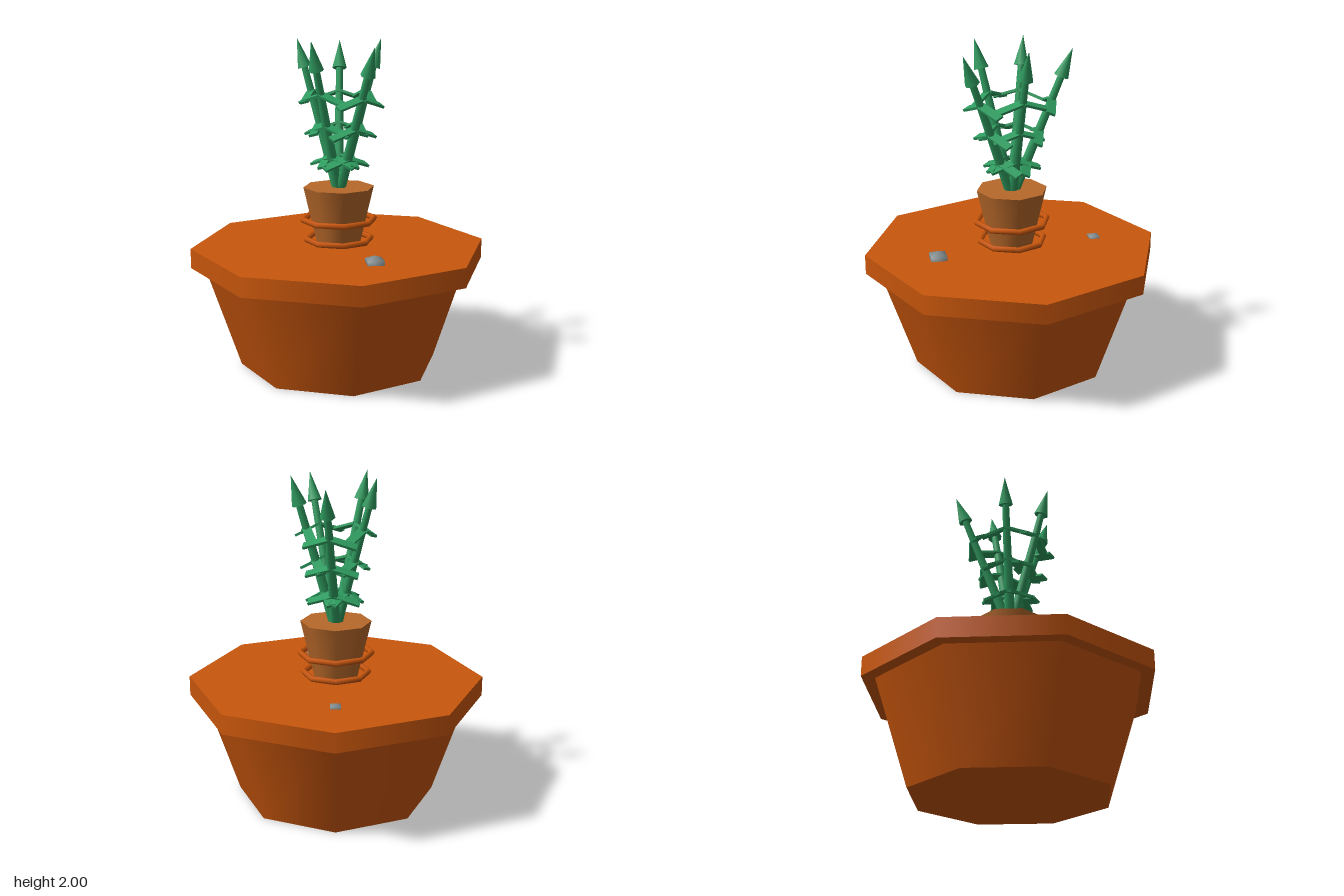
import * as THREE from 'three';

const paint = (color) => new THREE.MeshStandardMaterial({ color });
const clay = paint(0xc8560c);
const brown = paint(0xb8692a);
const green = paint(0x2e9b5f);
const grey = paint(0x808a8c);

function add(parent, name, geometry, material, x = 0, y = 0, z = 0) {
  const mesh = new THREE.Mesh(geometry, material);
  mesh.name = name;
  mesh.position.set(x, y, z);
  parent.add(mesh);
  return mesh;
}

// A spear-tipped stem growing along +y, with three pairs of drooping leaves
function createStem() {
  const stem = new THREE.Group();
  stem.name = 'stem';
  const length = 0.977, tip = 0.18;
  add(stem, 'stalk', new THREE.CylinderGeometry(0.021, 0.033, length - tip, 8), green, 0, (length - tip) / 2);
  add(stem, 'spearTip', new THREE.ConeGeometry(0.045, tip, 8), green, 0, length - tip / 2);
  const leafGeometry = new THREE.BoxGeometry(0.16, 0.015, 0.055);
  leafGeometry.translate(0.085, 0, 0);
  for (const t of [0.255, 0.46, 0.665]) {
    for (const side of [0, Math.PI]) {
      const leaf = add(stem, 'leaf', leafGeometry, green, 0, length * t, 0);
      leaf.rotation.set(0, side, -0.33);
    }
  }
  return stem;
}

export function createModel() {
  const model = new THREE.Group();
  model.name = 'pottedPlant';

  // Large eight-sided planter with an overhanging rim
  add(model, 'planterBody', new THREE.CylinderGeometry(0.825, 0.61, 0.64, 8), clay, 0, 0.32);
  add(model, 'planterRim', new THREE.CylinderGeometry(0.905, 0.905, 0.12, 8), clay, 0, 0.69);

  // Small inner pot with two loose hoops
  add(model, 'innerPot', new THREE.CylinderGeometry(0.217, 0.13, 0.37, 8), brown, 0, 0.925);
  for (const [y, radius] of [[0.908, 0.22], [0.785, 0.2]]) {
    const hoop = add(model, 'hoop', new THREE.TorusGeometry(radius, 0.018, 6, 8), clay, 0, y);
    hoop.rotation.x = Math.PI / 2;
  }

  // Five stems fanned evenly around the centre, leaning by differing amounts
  [0.275, 0.372, 0.275, 0.372, 0.275].forEach((lean, i) => {
    const stem = createStem();
    stem.position.y = 1.06;
    stem.rotation.order = 'YXZ';
    stem.rotation.y = (i * Math.PI * 2) / 5;
    stem.rotation.x = lean;
    model.add(stem);
  });

  // Pebbles half sunk in the planter top
  for (const [x, z, r, h] of [[0.44, 0.24, 0.079, 0.05], [-0.37, -0.37, 0.052, 0.025]]) {
    const pebble = add(model, 'pebble', new THREE.SphereGeometry(1, 4, 3), grey, x, 0.75, z);
    pebble.scale.set(r, h, r);
  }
  return model;
}
